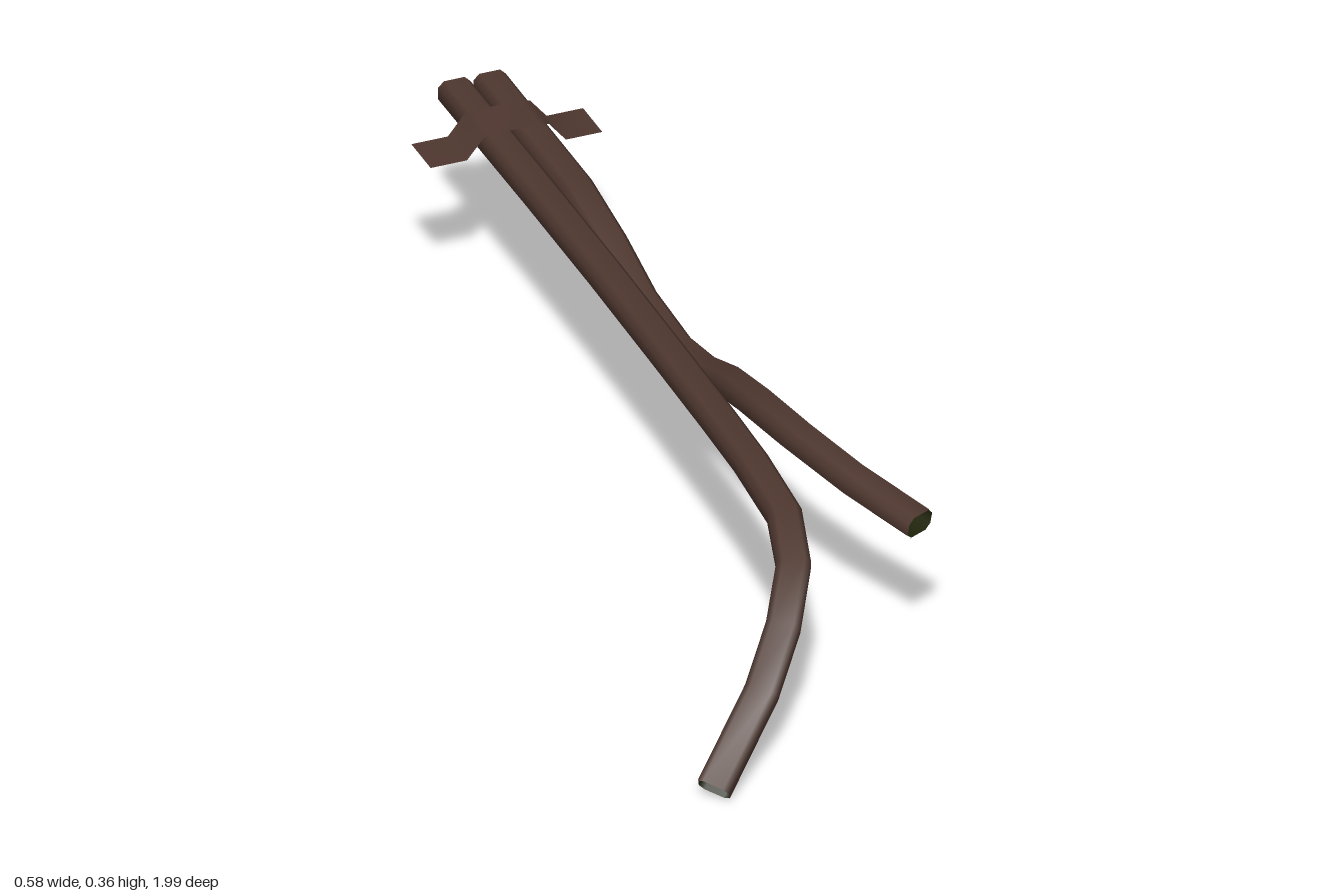
import * as THREE from 'three';

const brown = new THREE.MeshStandardMaterial({ color: 0x4e372f });
brown.name = 'dark brown';
const olive = new THREE.MeshStandardMaterial({ color: 0x20240a });
olive.name = 'dark olive lining';

// Cable cross-section: a flattened box with bevelled corners, counter-clockwise
const W = 0.031, H = 0.023, B = 0.011;
const SECTION = [
  [W, -H + B], [W, H - B], [W - B, H], [-W + B, H],
  [-W, H - B], [-W, -H + B], [-W + B, -H], [W - B, -H],
];

// Skin a grid of rows; inward flips the faces
function skin(rows, closed, inward) {
  const n = rows[0].length, index = [];
  for (let i = 0; i < rows.length - 1; i++) {
    for (let j = 0; j < (closed ? n : n - 1); j++) {
      const k = (j + 1) % n;
      const a = i * n + j, b = i * n + k, c = b + n, d = a + n;
      if (inward) index.push(a, c, b, a, d, c);
      else index.push(a, b, c, a, c, d);
    }
  }
  const g = new THREE.BufferGeometry().setFromPoints(rows.flat());
  g.setIndex(index);
  g.computeVertexNormals();
  return g;
}

// Sweep the section along a path without adding twist
function sweep(path, scale, inward) {
  const pts = path.map(p => new THREE.Vector3(...p));
  const up = new THREE.Vector3(0, 1, 0);
  const rows = pts.map((p, i) => {
    const before = p.clone().sub(pts[Math.max(i - 1, 0)]).normalize();
    const after = pts[Math.min(i + 1, pts.length - 1)].clone().sub(p).normalize();
    const t = before.add(after).normalize();
    up.addScaledVector(t, -up.dot(t)).normalize();
    const side = up.clone().cross(t);
    return SECTION.map(([s, u]) => p.clone()
      .addScaledVector(side, s * scale).addScaledVector(up, u * scale));
  });
  return skin(rows, true, inward);
}

function part(name, outer, inner) {
  const g = new THREE.Group();
  g.name = name;
  const shell = new THREE.Mesh(outer, brown);
  shell.name = name + 'Outside';
  const lining = new THREE.Mesh(inner, olive);
  lining.name = name + 'Inside';
  g.add(shell, lining);
  return g;
}

const cable = (name, path) => part(name, sweep(path, 1, false), sweep(path, 0.96, true));

// Thin bracket bent over both cables
function strapSkin(drop, inward) {
  const profile = [
    [-0.09, 0.31], [-0.02, 0.31], [0.012, 0.349], [0.03, 0.353],
    [0.12, 0.353], [0.138, 0.349], [0.17, 0.31], [0.24, 0.31],
  ];
  const rows = [-0.79, -0.88].map(z => profile.map(([x, y]) => new THREE.Vector3(x, y - drop, z)));
  return skin(rows, false, inward);
}

export function createModel() {
  const model = new THREE.Group();
  model.name = 'cablePair';

  // Long cable: straight, then bending aside and down to the ground
  model.add(cable('longCable', [
    [0.042, 0.326, -1], [0.045, 0.326, -0.6], [0.045, 0.326, -0.3], [0.041, 0.327, 0],
    [0.034, 0.332, 0.25], [0.027, 0.336, 0.42], [0.017, 0.328, 0.6], [-0.013, 0.295, 0.715],
    [-0.07, 0.23, 0.805], [-0.14, 0.15, 0.875], [-0.27, 0.028, 0.966],
  ]));

  // Short cable: sags in the middle, rises and turns outward
  model.add(cable('shortCable', [
    [0.11, 0.326, -1], [0.11, 0.326, -0.6], [0.11, 0.299, -0.44], [0.115, 0.252, -0.31],
    [0.124, 0.23, -0.17], [0.13, 0.246, -0.05], [0.129, 0.29, 0.07], [0.123, 0.325, 0.2],
    [0.137, 0.338, 0.36], [0.185, 0.318, 0.51], [0.255, 0.288, 0.655],
  ]));

  model.add(part('strap', strapSkin(0, false), strapSkin(0.002, true)));
  return model;
}
